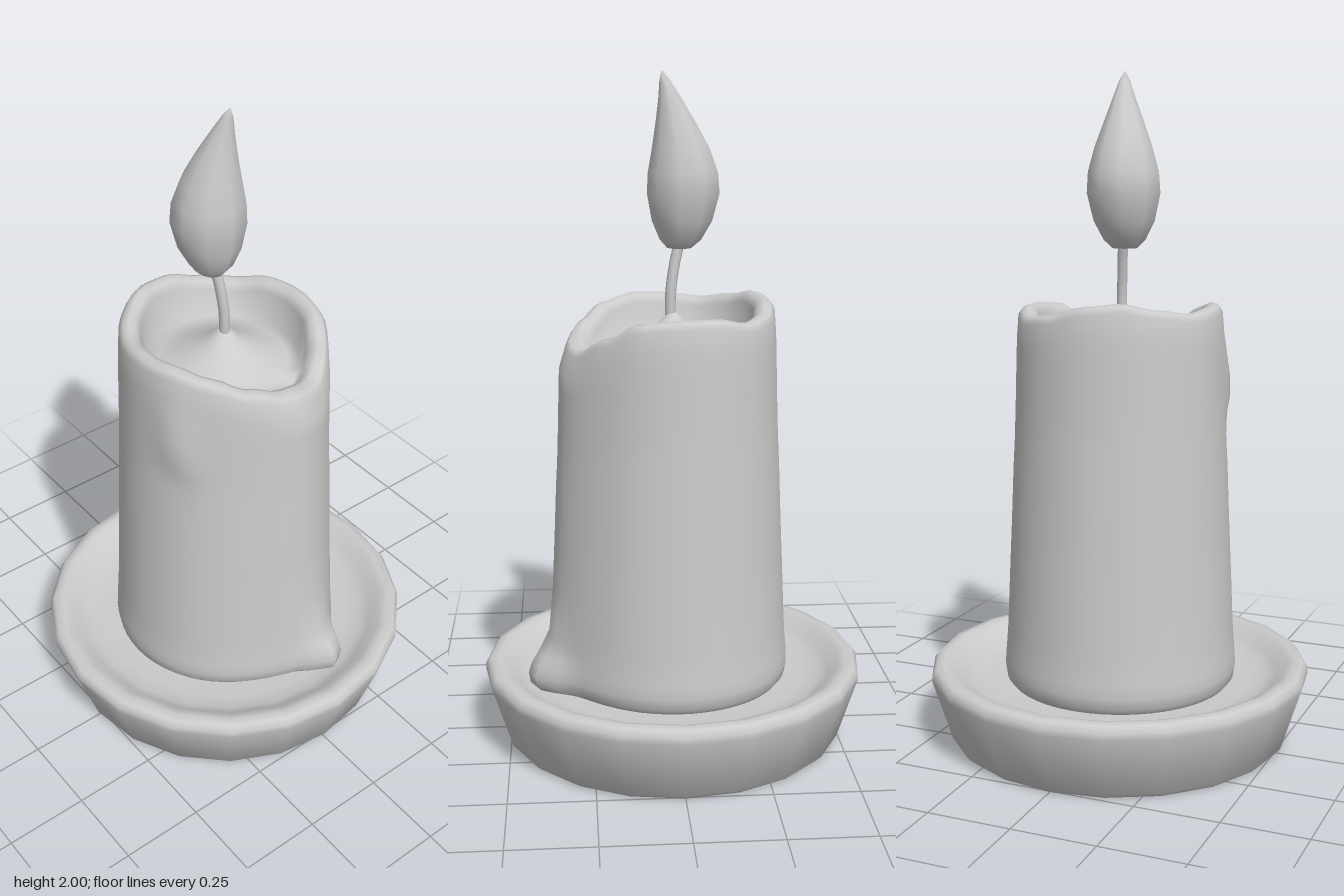
import * as THREE from 'three';
import { mergeVertices, toCreasedNormals } from 'three/addons/utils/BufferGeometryUtils.js';

const material = new THREE.MeshStandardMaterial({ color: 0xcccccc });

function add(group, name, geometry) {
  const mesh = new THREE.Mesh(geometry, material);
  mesh.name = name;
  group.add(mesh);
}

// Lathe a profile, move its vertices by a rule, then weld the seam for smooth normals.
function shapedLathe(profile, segments, move) {
  const points = profile.map(([r, y]) => new THREE.Vector2(r, y));
  let geometry = new THREE.LatheGeometry(points, segments);
  const pos = geometry.attributes.position;
  for (let i = 0; i < pos.count; i++) {
    const row = i % profile.length;
    const angle = (Math.floor(i / profile.length) % segments) / segments * Math.PI * 2;
    const [x, y, z] = move(row, angle, profile[row][0], profile[row][1]);
    pos.setXYZ(i, x, y, z);
  }
  geometry.deleteAttribute('uv');
  geometry.deleteAttribute('normal');
  geometry = mergeVertices(geometry, 1e-5);
  geometry.computeVertexNormals();
  return geometry;
}

// Height of the melted rim around the candle, starting at the front and turning to +x
const rimHeights = [1.235, 1.215, 1.26, 1.31, 1.32, 1.32, 1.30, 1.31,
  1.34, 1.35, 1.33, 1.315, 1.325, 1.33, 1.31, 1.27];

function rimHeight(angle) {
  const n = rimHeights.length;
  const f = angle / (Math.PI * 2) * n;
  const i = Math.floor(f);
  const t = THREE.MathUtils.smoothstep(f - i, 0, 1);
  return THREE.MathUtils.lerp(rimHeights[i % n], rimHeights[(i + 1) % n], t);
}

// Bell-shaped bump around an angle
function bump(angle, centre, width) {
  const d = Math.atan2(Math.sin(angle - centre), Math.cos(angle - centre));
  return Math.exp(-((d / width) ** 2));
}

function candleGeometry() {
  const base = 0.17;
  // Outer wall: [radius, fraction of the way up to the rim]
  const wall = [[0, 0], [0.33, 0], [0.348, 0.02], [0.353, 0.05], [0.351, 0.08], [0.348, 0.11],
    [0.344, 0.16], [0.337, 0.3], [0.329, 0.45], [0.322, 0.6], [0.317, 0.68], [0.315, 0.73],
    [0.313, 0.78], [0.311, 0.84], [0.309, 0.9], [0.307, 0.95]];
  // Rounded rim: [radius, drop below the rim height]
  const lip = [[0.302, 0.024], [0.29, 0.006], [0.272, 0], [0.252, 0.008], [0.238, 0.03]];
  // Pool of wax rising to the wick: [radius, height]
  const pool = [[0.222, 1.195], [0.19, 1.195], [0.14, 1.215], [0.09, 1.24], [0.045, 1.268], [0.015, 1.3], [0, 1.305]];
  const smooth = THREE.MathUtils.smoothstep;

  return shapedLathe([...wall, ...lip, ...pool], 56, (row, angle, r, v) => {
    const rim = rimHeight(angle);
    let y = v;
    if (row < wall.length) y = base + v * (rim - 0.035 - base);
    else if (row < wall.length + lip.length) y = rim - v;
    else if (row === wall.length + lip.length) y = Math.min(v, rim - 0.04);

    if (row > 0 && row < wall.length + 2) {
      // Long front run, its foot on the dish, and a short run on the side
      const top = row < wall.length ? 1 : 0.5;
      r += 0.033 * top * bump(angle, 0.17, 0.42);
      r += 0.075 * bump(angle, 0.27, 0.17) * (1 - smooth(y, 0.22, 0.38));
      r += 0.018 * bump(angle, -1.08, 0.2) * smooth(y, 0.95, 1.06) * (1 - smooth(y, 1.1, 1.27));
    }
    return [r * Math.sin(angle) - 0.003, y, r * Math.cos(angle)];
  });
}

function flameGeometry() {
  // Radius, height, and sideways drift of each cross-section
  const rings = [
    [0, 1.488, -0.025, -0.022], [0.036, 1.49, -0.026, -0.022], [0.062, 1.515, -0.027, -0.026],
    [0.09, 1.57, -0.028, -0.031], [0.108, 1.65, -0.028, -0.035], [0.104, 1.71, -0.027, -0.034],
    [0.085, 1.78, -0.024, -0.027], [0.06, 1.85, -0.019, -0.012], [0.034, 1.92, -0.012, 0.006],
    [0.016, 1.97, -0.007, 0.021], [0, 2, -0.005, 0.03]];
  return shapedLathe(rings, 9, (row, angle, r, y) => [
    rings[row][2] + r * Math.sin(angle), y, rings[row][3] + r * Math.cos(angle)]);
}

export function createModel() {
  const model = new THREE.Group();
  model.name = 'candle';

  // Shallow dish with a rounded rim
  const dishProfile = [[0, 0], [0.505, 0], [0.518, 0.012], [0.577, 0.195], [0.578, 0.215],
    [0.565, 0.233], [0.54, 0.236], [0.515, 0.228], [0.485, 0.2], [0.45, 0.182], [0.4, 0.175], [0, 0.175]];
  const dish = new THREE.LatheGeometry(dishProfile.map(([r, y]) => new THREE.Vector2(r, y)), 20);
  add(model, 'dish', toCreasedNormals(dish, 0.9));

  // Wax body with melted rim, pool and runs
  add(model, 'waxBody', candleGeometry());

  // Bent wick
  const wickPath = new THREE.CatmullRomCurve3([
    new THREE.Vector3(-0.005, 1.27, 0.006), new THREE.Vector3(-0.006, 1.36, 0.005),
    new THREE.Vector3(-0.012, 1.44, -0.006), new THREE.Vector3(-0.02, 1.51, -0.022)]);
  add(model, 'wick', new THREE.TubeGeometry(wickPath, 8, 0.016, 8));

  // Flame with a curling tip
  add(model, 'flame', flameGeometry());

  return model;
}
